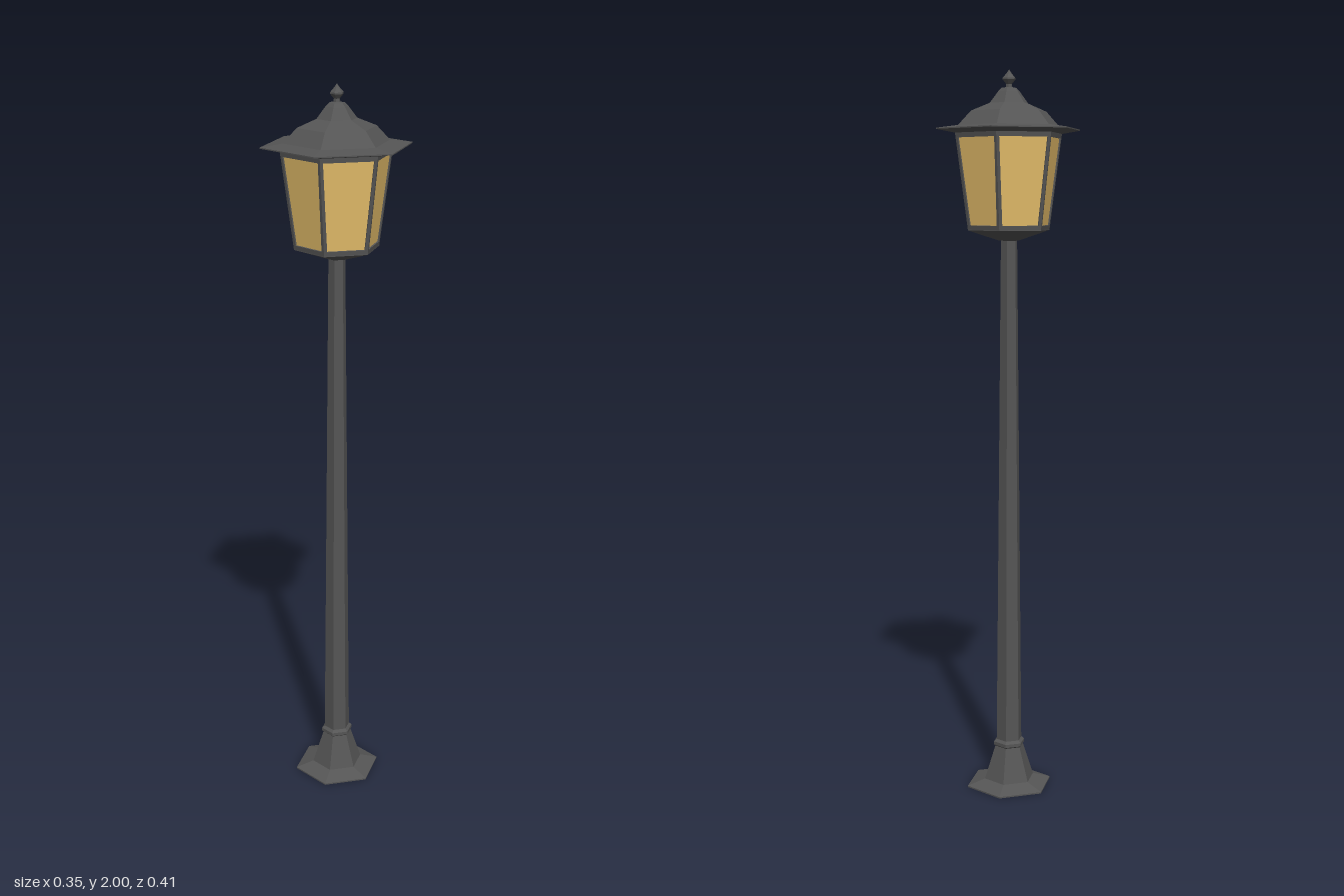
import * as THREE from 'three';

const metal = new THREE.MeshStandardMaterial({ color: 0x555555, flatShading: true });
const amber = new THREE.MeshStandardMaterial({ color: 0xe8c06c, flatShading: true });

// Six-sided turned part, profile [radius, height] from bottom to top, corners on +z and -z
function hexPart(name, profile, material = metal) {
  const points = profile.map(([r, y]) => new THREE.Vector2(r, y));
  const mesh = new THREE.Mesh(new THREE.LatheGeometry(points, 6), material);
  mesh.name = name;
  return mesh;
}

function trapezoid(Type, y0, w0, y1, w1) {
  return new Type([[-w0, y0], [w0, y0], [w1, y1], [-w1, y1]].map(([x, y]) => new THREE.Vector2(x, y)));
}

export function createModel() {
  const model = new THREE.Group();
  model.name = 'streetLamp';

  // Flared foot, collar and tapered pole
  model.add(hexPart('foot', [[0, 0], [0.123, 0], [0.123, 0.004], [0.072, 0.02], [0.04, 0.118], [0, 0.118]]));
  model.add(hexPart('collar', [[0, 0.113], [0.038, 0.113], [0.045, 0.119], [0.045, 0.128], [0.037, 0.135], [0, 0.135]]));
  model.add(hexPart('pole', [[0.037, 0.11], [0.023, 1.56]]));

  // Lantern tray under the glass
  model.add(hexPart('lanternTray', [[0, 1.547], [0.028, 1.547], [0.116, 1.575], [0.116, 1.58], [0, 1.58]]));

  // Glass body, slightly inside the frame
  model.add(hexPart('glass', [[0.111, 1.578], [0.146, 1.835]], amber));

  // Six leaning window frames
  const r0 = 0.116, r1 = 0.151, y0 = 1.577, y1 = 1.836;
  const cos30 = Math.cos(Math.PI / 6);
  const lean = Math.atan2((r1 - r0) * cos30, y1 - y0);
  const length = (y1 - y0) / Math.cos(lean);
  const frameShape = trapezoid(THREE.Shape, 0, r0 / 2, length, r1 / 2);
  frameShape.holes.push(trapezoid(THREE.Path, 0.011, r0 / 2 - 0.008, length - 0.016, r1 / 2 - 0.009));
  const frameGeometry = new THREE.ExtrudeGeometry(frameShape, { depth: 0.008, bevelEnabled: false });
  frameGeometry.translate(0, 0, -0.008).rotateX(lean).translate(0, y0, r0 * cos30);
  const frames = new THREE.Group();
  frames.name = 'windowFrames';
  for (let i = 0; i < 6; i++) {
    const frame = new THREE.Mesh(frameGeometry, metal);
    frame.name = 'windowFrame';
    frame.rotation.y = (i + 0.5) * Math.PI / 3;
    frames.add(frame);
  }
  model.add(frames);

  // Wide brim and stepped roof
  model.add(hexPart('brim', [[0, 1.833], [0.152, 1.833], [0.203, 1.842], [0.203, 1.845], [0.142, 1.853], [0, 1.853]]));
  model.add(hexPart('roof', [[0.142, 1.853], [0.106, 1.891], [0.054, 1.912], [0.03, 1.943], [0.021, 1.952], [0, 1.955]]));

  // Pointed finial
  model.add(hexPart('finial', [[0.01, 1.95], [0.008, 1.962], [0.018, 1.974], [0.018, 1.978], [0.008, 1.989], [0, 2]]));

  return model;
}
